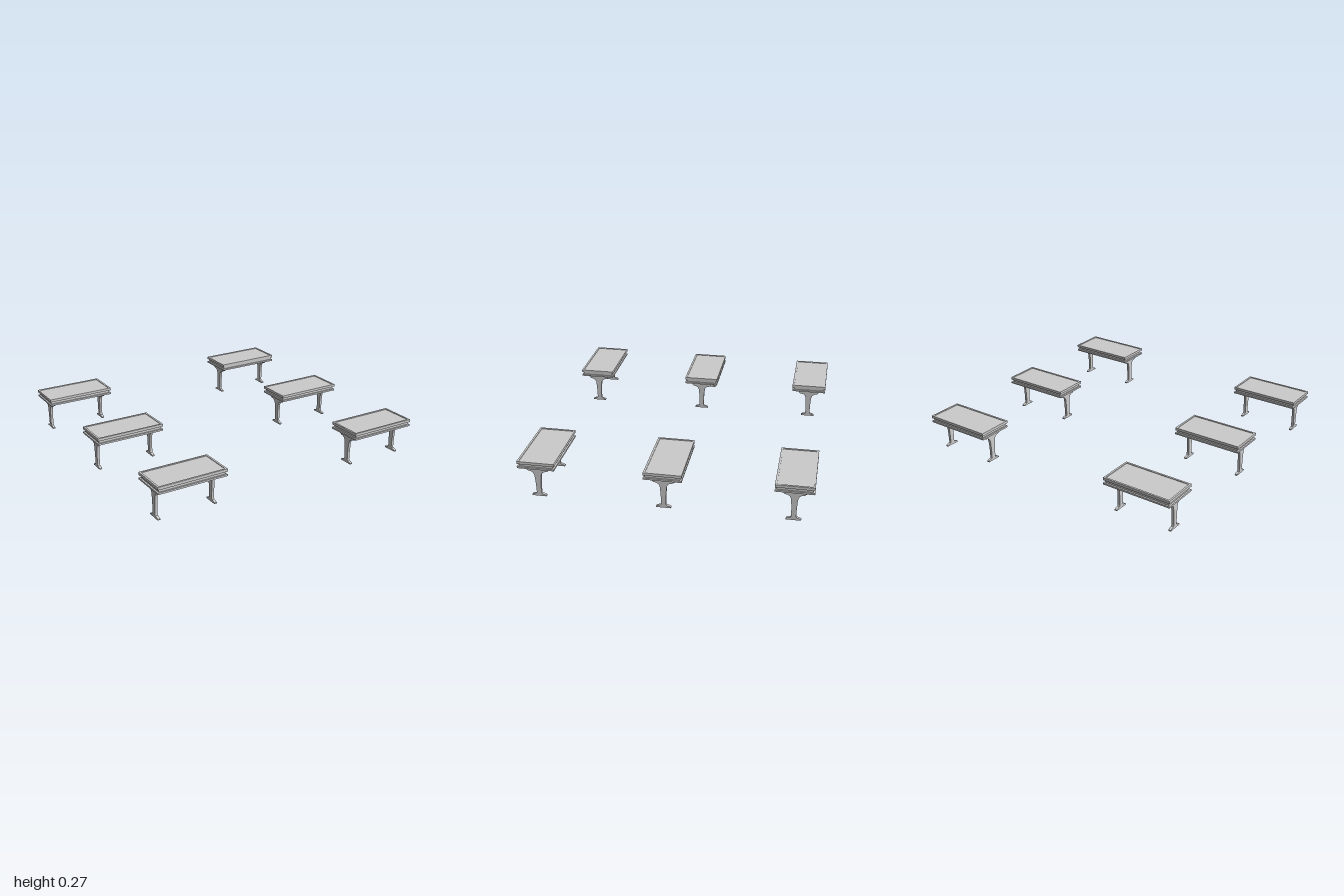
import * as THREE from 'three';

const material = new THREE.MeshStandardMaterial({ color: 0xcccccc, flatShading: true });
const HALF_X = 0.245, HALF_Z = 0.125;

function add(group, name, geometry, x = 0, y = 0, z = 0) {
  const mesh = new THREE.Mesh(geometry, material);
  mesh.name = name;
  mesh.position.set(x, y, z);
  group.add(mesh);
  return mesh;
}

// Slab between two heights, inset from the outline of the top
function slab(group, name, y0, y1, inset) {
  const g = new THREE.BoxGeometry(2 * (HALF_X - inset), y1 - y0, 2 * (HALF_Z - inset));
  add(group, name, g, 0, (y0 + y1) / 2, 0);
}

// Rectangular frame lying flat
function frame(group, name, y0, y1, width) {
  const rect = (Type, a, b) => new Type([[-a, -b], [a, -b], [a, b], [-a, b]].map(p => new THREE.Vector2(...p)));
  const shape = rect(THREE.Shape, HALF_X, HALF_Z);
  shape.holes.push(rect(THREE.Path, HALF_X - width, HALF_Z - width));
  const g = new THREE.ExtrudeGeometry(shape, { depth: y1 - y0, bevelEnabled: false });
  g.rotateX(-Math.PI / 2);
  add(group, name, g, 0, y0, 0);
}

// Leg with spread foot and flared bracket: half-widths in z at rising heights
function legGeometry() {
  const half = [
    [0.049, 0], [0.049, 0.008], [0.035, 0.014], [0.019, 0.018], [0.016, 0.026],
    [0.017, 0.08], [0.020, 0.13], [0.023, 0.155], [0.030, 0.173], [0.045, 0.183],
    [0.064, 0.186], [0.072, 0.193], [0.077, 0.204], [0.086, 0.208], [0.086, 0.22],
  ];
  const outline = [...half, ...half.map(([w, y]) => [-w, y]).reverse()];
  const shape = new THREE.Shape(outline.map(p => new THREE.Vector2(...p)));
  const g = new THREE.ExtrudeGeometry(shape, { depth: 0.018, bevelEnabled: false });
  g.translate(0, 0, -0.009);
  g.rotateY(Math.PI / 2);
  return g;
}

// Arched stretcher running between the legs below the top
function stretcherGeometry() {
  const shape = new THREE.Shape();
  shape.moveTo(-0.2, 0.22);
  shape.lineTo(-0.2, 0.17);
  shape.quadraticCurveTo(-0.11, 0.188, 0, 0.204);
  shape.quadraticCurveTo(0.11, 0.188, 0.2, 0.17);
  shape.lineTo(0.2, 0.22);
  const g = new THREE.ExtrudeGeometry(shape, { depth: 0.018, bevelEnabled: false, curveSegments: 5 });
  g.translate(0, 0, -0.009);
  return g;
}

function createTable() {
  const table = new THREE.Group();
  table.name = 'table';
  // Grooved top with a slightly raised border
  slab(table, 'lowerLip', 0.216, 0.228, 0);
  slab(table, 'grooveCore', 0.228, 0.247, 0.011);
  slab(table, 'upperSlab', 0.247, 0.262, 0);
  frame(table, 'topBorder', 0.262, 0.266, 0.013);
  const leg = legGeometry();
  for (const s of [-1, 1]) add(table, s > 0 ? 'leftLeg' : 'rightLeg', leg, s * 0.203);
  add(table, 'archedStretcher', stretcherGeometry());
  return table;
}

export function createModel() {
  const model = new THREE.Group();
  model.name = 'tables';
  const table = createTable();
  // Two columns of three tables
  for (const x of [-0.755, 0.755]) {
    for (const z of [-0.837, 0, 0.837]) {
      const copy = table.clone();
      copy.position.set(x, 0, z);
      model.add(copy);
    }
  }
  return model;
}
